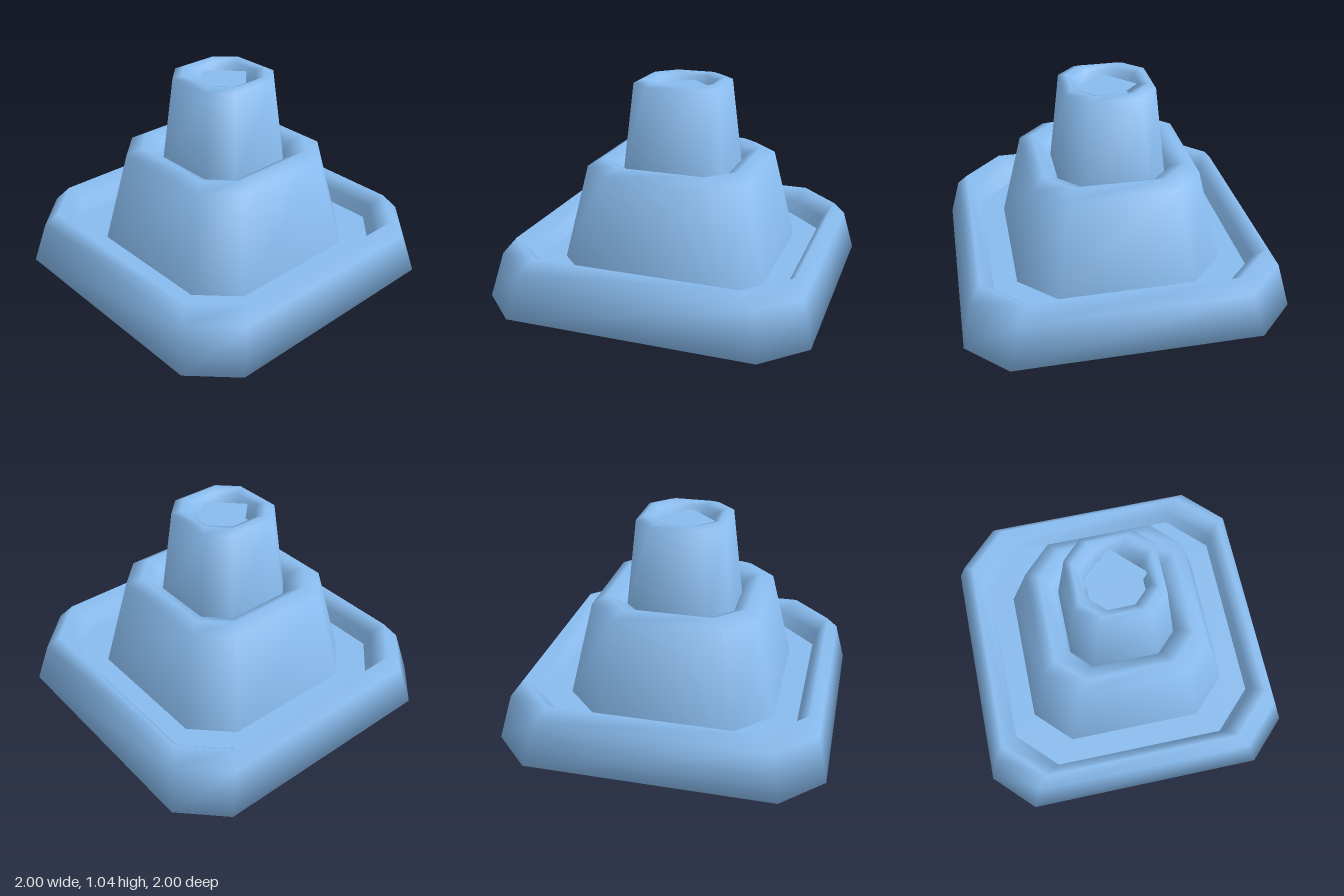
import * as THREE from 'three';

const material = new THREE.MeshStandardMaterial({ color: 0x88bbee, side: THREE.DoubleSide });

// Eight corners of a diamond with cut tips: r = reach along the axes, c = half width of each tip
function octagon(r, c, y) {
  return [[r, -c], [r, c], [c, r], [-c, r], [-r, c], [-r, -c], [-c, -r], [c, -r]]
    .map(([x, z]) => [x, y, z]);
}

// Outward direction, in (radius, height), of the band between two sections
function bandNormal([r0, , y0], [r1, , y1]) {
  return new THREE.Vector2(y1 - y0, r0 - r1).normalize();
}

// Soft wall through a list of [r, c, y] sections; normals fan evenly around the eight corners
function wall(sections) {
  const positions = [], normals = [], index = [];
  const last = sections.length - 1;
  sections.forEach((section, j) => {
    const n = new THREE.Vector2();
    if (j > 0) n.add(bandNormal(sections[j - 1], section));
    if (j < last) n.add(bandNormal(section, sections[j + 1]));
    n.normalize();
    octagon(...section).forEach((p, i) => {
      const angle = (i - 0.5) * Math.PI / 4;
      positions.push(...p);
      normals.push(n.x * Math.cos(angle), n.y, n.x * Math.sin(angle));
      if (j === last) return;
      const a = j * 8 + i, b = j * 8 + (i + 1) % 8;
      index.push(a, a + 8, b, b, a + 8, b + 8);
    });
  });
  const geometry = new THREE.BufferGeometry();
  geometry.setAttribute('position', new THREE.Float32BufferAttribute(positions, 3));
  geometry.setAttribute('normal', new THREE.Float32BufferAttribute(normals, 3));
  geometry.setIndex(index);
  return geometry;
}

// Flat sheet filling one section
function sheet(r, c, y) {
  const shape = new THREE.Shape(octagon(r, c, y).map(([x, , z]) => new THREE.Vector2(x, -z)));
  return new THREE.ShapeGeometry(shape).rotateX(-Math.PI / 2).translate(0, y, 0);
}

export function createModel() {
  const model = new THREE.Group();
  model.name = 'tieredFountain';
  const add = (name, geometry) => {
    const mesh = new THREE.Mesh(geometry, material);
    mesh.name = name;
    model.add(mesh);
  };

  // Wide hollow base: lip, outer wall, bevelled rim, then the basin wall down to the ground
  add('lowerBasin', wall([
    [0.96, 0.14, 0], [1, 0.14, 0], [0.928, 0.14, 0.215], [0.855, 0.14, 0.285],
    [0.785, 0.14, 0.215], [0.705, 0.135, 0],
  ]));
  add('underside', wall([[0, 0, 0], [0.1, 0.03, 0], [0.5, 0.1, 0.03], [0.705, 0.135, 0]]));
  add('lowerWater', sheet(0.76, 0.14, 0.145));

  // Middle tier
  add('middleBasin', wall([
    [0.608, 0.125, 0.14], [0.483, 0.1, 0.62], [0.405, 0.09, 0.655], [0.33, 0.075, 0.62], [0.3, 0.07, 0.55],
  ]));

  // Top cup, with a small square of water inside
  add('topBasin', wall([
    [0.305, 0.07, 0.56], [0.243, 0.065, 1.025], [0.2, 0.065, 1.04], [0.157, 0.06, 1.025], [0.135, 0.055, 0.93],
  ]));
  add('topBasinFloor', sheet(0.135, 0.055, 0.93));
  add('topWater', sheet(0.11, 0.11, 1));
  return model;
}
